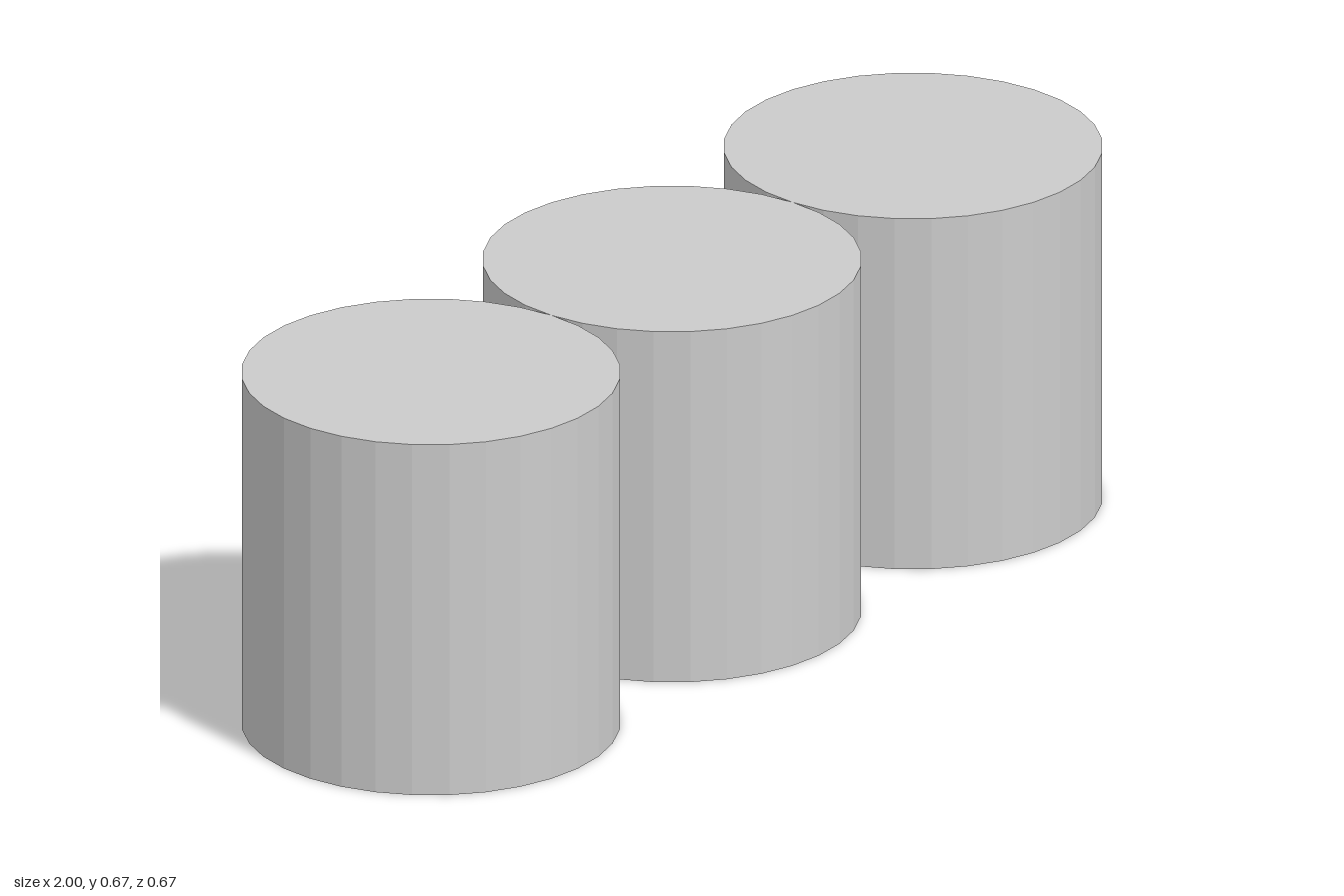
import * as THREE from 'three';

const RADIUS = 1 / 3;
const HEIGHT = 2 / 3;
const SIDES = 32;

export function createModel() {
  const model = new THREE.Group();
  model.name = 'cylinderRow';

  const material = new THREE.MeshStandardMaterial({ color: 0xcccccc, flatShading: true });
  const geometry = new THREE.CylinderGeometry(RADIUS, RADIUS, HEIGHT, SIDES);
  geometry.translate(0, HEIGHT / 2, 0);

  // Three equal faceted cylinders, touching side by side
  ['rightCylinder', 'middleCylinder', 'leftCylinder'].forEach((name, i) => {
    const cylinder = new THREE.Mesh(geometry, material);
    cylinder.name = name;
    cylinder.position.x = (i - 1) * 2 * RADIUS;
    model.add(cylinder);
  });

  return model;
}
